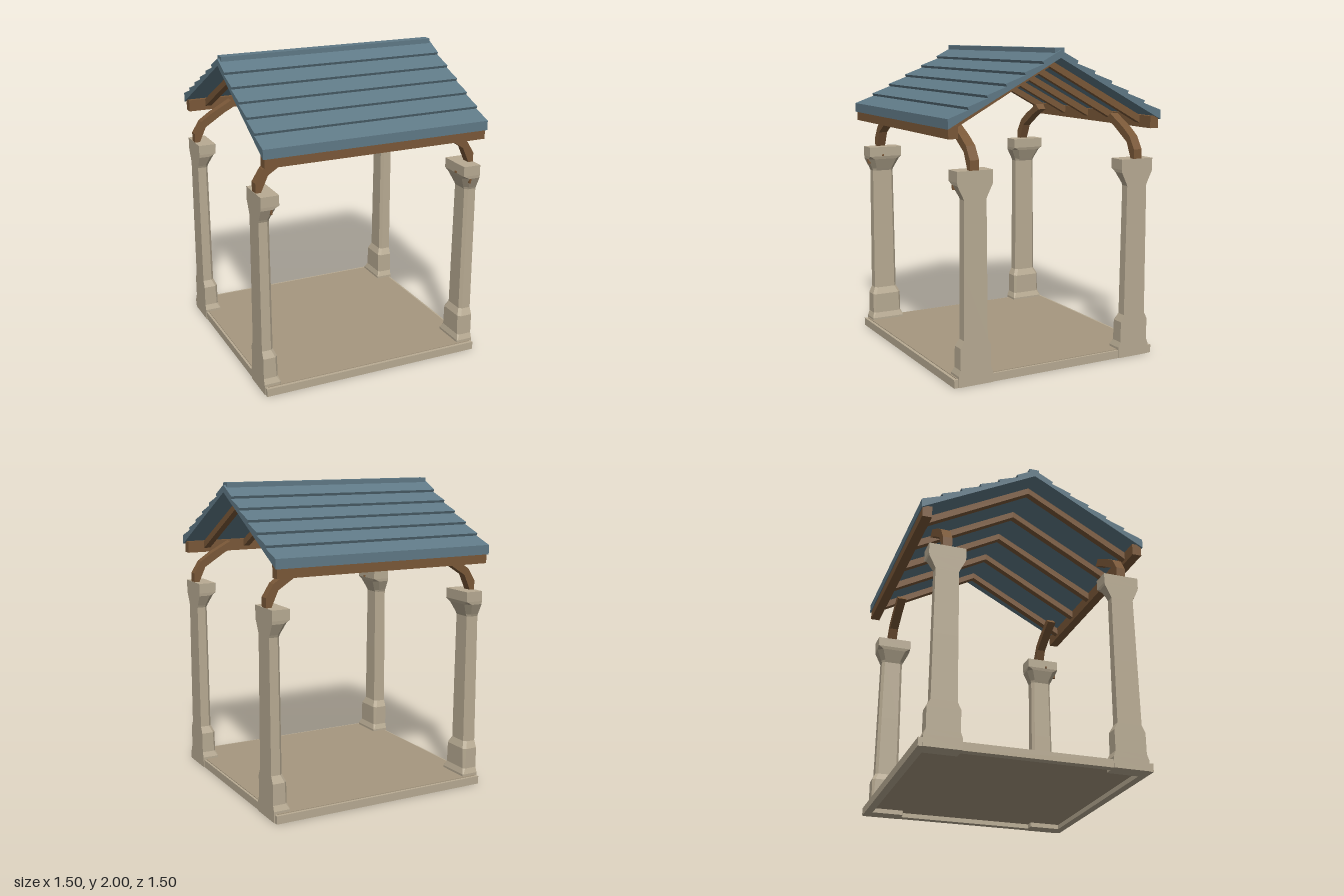
import * as THREE from 'three';

const mat = (name, color) => {
  const m = new THREE.MeshStandardMaterial({ color });
  m.name = name;
  return m;
};

// Half-octagon sections [y, depth, halfWidth, chamfer] stacked upward; outer face is flat at x = 0
function loft(levels) {
  const rings = levels.map(([y, a, b, c]) =>
    [[0, -b], [a - c, -b], [a, c - b], [a, b - c], [a - c, b], [0, b]].map(([x, z]) => [x, y, z]));
  const pos = [];
  const tri = (...pts) => pts.forEach((p) => pos.push(...p));
  for (let k = 0; k < rings.length - 1; k++) {
    const lo = rings[k], hi = rings[k + 1];
    for (let i = 0; i < 6; i++) {
      const j = (i + 1) % 6;
      tri(lo[i], hi[i], hi[j]);
      tri(lo[i], hi[j], lo[j]);
    }
  }
  const bottom = rings[0], top = rings[rings.length - 1];
  for (let i = 1; i < 5; i++) {
    tri(bottom[0], bottom[i], bottom[i + 1]);
    tri(top[0], top[i + 1], top[i]);
  }
  const g = new THREE.BufferGeometry();
  g.setAttribute('position', new THREE.Float32BufferAttribute(pos, 3));
  g.computeVertexNormals();
  return g;
}

// Prism from a 2D outline, centred along its depth
function prism(points, depth) {
  const shape = new THREE.Shape(points.map(([x, y]) => new THREE.Vector2(x, y)));
  return new THREE.ExtrudeGeometry(shape, { depth, bevelEnabled: false }).translate(0, 0, -depth / 2);
}

// Mirrors a half profile running from eave to ridge onto the other side
const mirrored = (pts) => pts.slice().reverse().map(([x, y]) => [-x, y]);

export function createModel() {
  const stone = mat('stone', 0xb8ab93);
  const paving = mat('paving', 0xa6977f);
  const wood = mat('wood', 0x7a5838);
  const slate = mat('slate', 0x5f7986);

  const model = new THREE.Group();
  model.name = 'pavilion';
  const add = (name, geo, material, x = 0, y = 0, z = 0, ry = 0) => {
    const m = new THREE.Mesh(geo, material);
    m.name = name;
    m.position.set(x, y, z);
    m.rotation.y = ry;
    model.add(m);
    return m;
  };
  const box = (name, material, w, h, d, x, y, z) =>
    add(name, new THREE.BoxGeometry(w, h, d), material, x, y, z);

  // Base: open stone rim with the floor set into it
  for (const s of [-1, 1]) {
    box('baseRimLong', stone, 1.49, 0.052, 0.05, 0, 0.026, s * 0.695);
    box('baseRimShort', stone, 0.05, 0.052, 1.34, s * 0.72, 0.026, 0);
  }
  box('floor', paving, 1.46, 0.026, 1.4, 0, 0.043, 0);

  // Columns with stepped foot and flared capital, and curved braces above
  const columnGeo = loft([
    [0, 0.11, 0.115, 0.004],
    [0.07, 0.11, 0.115, 0.004],
    [0.105, 0.097, 0.102, 0.012],
    [0.24, 0.097, 0.102, 0.018],
    [0.285, 0.078, 0.08, 0.018],
    [0.7, 0.076, 0.077, 0.018],
    [1.13, 0.073, 0.074, 0.018],
    [1.145, 0.08, 0.08, 0.025],
    [1.215, 0.112, 0.115, 0.035],
    [1.235, 0.118, 0.117, 0.003],
    [1.3, 0.118, 0.117, 0.003],
  ]);
  const braceGeo = prism([
    [0, 1.28], [0, 1.36], [0.05, 1.44], [0.13, 1.495], [0.27, 1.57],
    [0.31, 1.535], [0.22, 1.49], [0.08, 1.4], [0.035, 1.3], [0.035, 1.28],
  ], 0.06);
  for (const sx of [-1, 1]) {
    for (const sz of [-1, 1]) {
      const turn = sx < 0 ? 0 : Math.PI;
      add('column', columnGeo, stone, sx * 0.75, 0, sz * 0.577, turn);
      add('brace', braceGeo, wood, sx * 0.748, 0, sz * 0.58, turn);
    }
    // Small pegs on the front capitals
    box('frontPeg', wood, 0.012, 0.03, 0.02, sx * 0.682, 1.2, 0.683);
    box('sidePeg', wood, 0.014, 0.012, 0.012, sx * 0.63, 1.243, 0.6);
  }

  // Eave beams
  for (const s of [-1, 1]) box('eaveBeam', wood, 1.476, 0.078, 0.062, 0, 1.527, s * 0.711);

  // Rafter pairs
  const lower = [[0.69, 1.51], [0, 1.885]];
  const upper = [[0.69, 1.56], [0, 1.928]];
  const rafterGeo = prism([
    ...lower, ...mirrored(lower).slice(1),
    ...mirrored(upper).reverse().slice(0, 1), ...upper.slice().reverse(),
  ], 0.045);
  for (let i = -2; i <= 2; i++) add('rafterPair', rafterGeo, wood, i * 0.3, 0, 0, Math.PI / 2);

  // Roof: six overlapping slate courses on each slope
  const tipY = (z) => 1.605 + (0.75 - z) * 0.507;
  const slope = [[0.75, 1.545]];
  for (let i = 6; i > 0; i--) {
    const z = i * 0.125;
    if (i < 6) slope.push([z - 0.008, tipY(z) - 0.016]);
    slope.push([z, tipY(z)]);
  }
  slope.push([0, 1.986]);
  const roofGeo = prism([...slope, ...mirrored(slope).slice(1), [0, 1.94]], 1.5);
  add('roof', roofGeo, slate, 0, 0, 0, Math.PI / 2);

  // Ridge cap
  box('ridgeCap', slate, 1.474, 0.03, 0.066, 0, 1.985, 0);

  return model;
}
